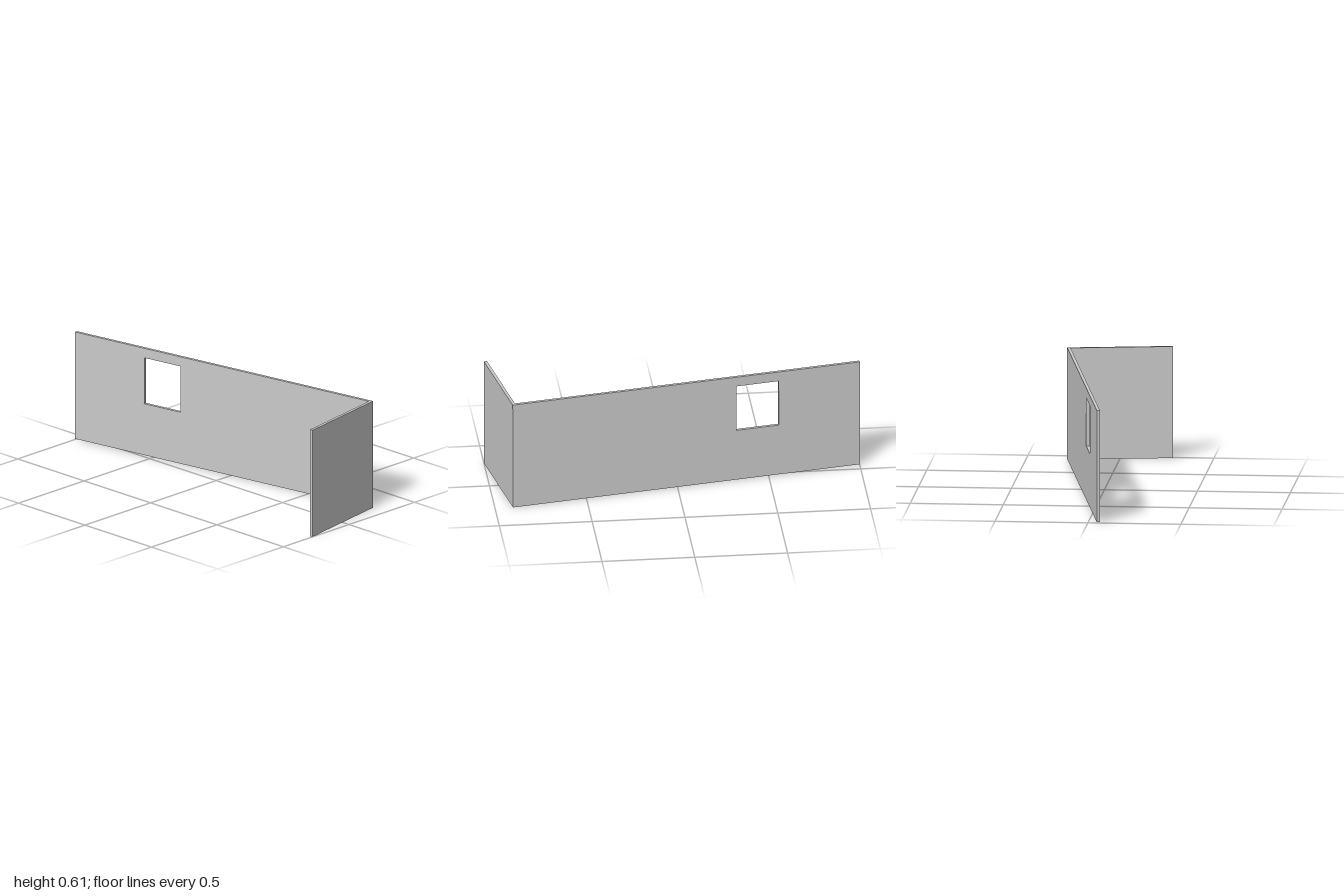
import * as THREE from 'three';

const HEIGHT = 0.607;
const THICK = 0.017;
const LONG = 1.933;
const SHORT = 0.567;

// Upright wall: its length runs along x from 0, its thickness along +z, with optional rectangular openings
function wallGeometry(length, openings = []) {
  const shape = new THREE.Shape();
  shape.moveTo(0, 0).lineTo(length, 0).lineTo(length, HEIGHT).lineTo(0, HEIGHT).closePath();
  for (const [x0, x1, y0, y1] of openings) {
    const hole = new THREE.Path();
    hole.moveTo(x0, y0).lineTo(x0, y1).lineTo(x1, y1).lineTo(x1, y0).closePath();
    shape.holes.push(hole);
  }
  return new THREE.ExtrudeGeometry(shape, { depth: THICK, bevelEnabled: false });
}

export function createModel() {
  const material = new THREE.MeshStandardMaterial({ color: 0xcccccc });

  // L-shaped plan with its outer corner at the origin
  const walls = new THREE.Group();
  walls.name = 'walls';

  // Long side wall with a window opening, running towards the back
  const longWall = new THREE.Mesh(
    wallGeometry(LONG, [[1.246, 1.481, 0.292, 0.553]])
      .rotateY(Math.PI / 2)
      .translate(-THICK, 0, 0),
    material
  );
  longWall.name = 'longWall';

  // Short front wall, butted against the inside of the long wall
  const shortWall = new THREE.Mesh(
    wallGeometry(SHORT - THICK).translate(-SHORT, 0, -THICK),
    material
  );
  shortWall.name = 'shortWall';

  walls.add(longWall, shortWall);
  walls.position.set(0.281, 0, 0.903);
  walls.rotation.y = 0.171;

  // Very slight tilt, the back a touch higher than the front
  const tilt = new THREE.Group();
  tilt.name = 'tiltedWalls';
  tilt.rotation.x = 0.0026;
  tilt.position.y = 0.0026;
  tilt.add(walls);

  const model = new THREE.Group();
  model.name = 'cornerWalls';
  model.add(tilt);
  return model;
}
